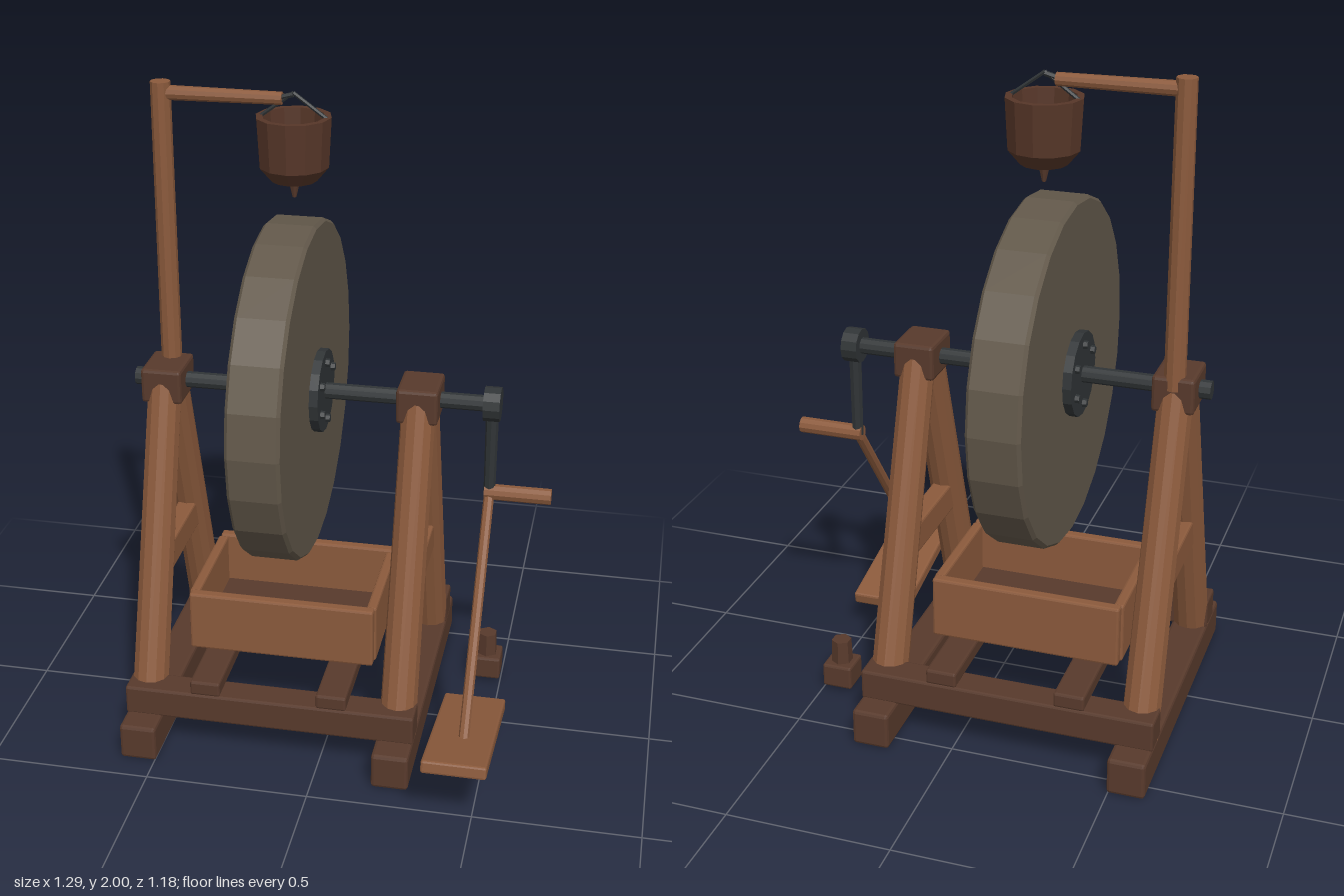
import * as THREE from 'three';
import { RoundedBoxGeometry } from 'three/addons/geometries/RoundedBoxGeometry.js';

const mat = (name, color, extra = {}) =>
  Object.assign(new THREE.MeshStandardMaterial({ color, flatShading: true, ...extra }), { name });

export function createModel() {
  const model = new THREE.Group();
  model.name = 'grindstone';
  const wood = mat('warmWood', 0x8b5a3c);
  const dark = mat('darkWood', 0x583a2c);
  const darkOpen = mat('bucketWood', 0x563628, { side: THREE.DoubleSide });
  const stone = mat('stone', 0x62584a);
  const iron = mat('iron', 0x303436);

  const add = (name, geo, material) => {
    const mesh = new THREE.Mesh(geo, material);
    mesh.name = name;
    model.add(mesh);
    return mesh;
  };
  // Softly bevelled box given by its limits on each axis
  const box = (name, m, [x0, x1], [y0, y1], [z0, z1], bevel = 0.007) => {
    const mesh = add(name, new RoundedBoxGeometry(x1 - x0, y1 - y0, z1 - z0, 1, bevel), m);
    mesh.position.set((x0 + x1) / 2, (y0 + y1) / 2, (z0 + z1) / 2);
    return mesh;
  };
  // Round bar from a to b
  const bar = (name, m, a, b, rA, rB = rA, sides = 10) => {
    const p = new THREE.Vector3(...a), q = new THREE.Vector3(...b);
    const d = q.clone().sub(p);
    const mesh = add(name, new THREE.CylinderGeometry(rB, rA, d.length(), sides), m);
    mesh.position.copy(p).add(q).multiplyScalar(0.5);
    mesh.quaternion.setFromUnitVectors(new THREE.Vector3(0, 1, 0), d.normalize());
    return mesh;
  };
  const AY = 1.085, AZ = -0.07; // axle height and depth

  // Two A-shaped side frames on long feet
  for (const x of [-0.552, 0.237]) {
    box('foot', dark, [x - 0.057, x + 0.057], [0, 0.115], [-0.565, 0.417], 0.01);
    box('bearingBlock', dark, [x - 0.063, x + 0.063], [1.03, 1.14], [AZ - 0.08, AZ + 0.08], 0.01);
    box('frameBrace', wood, [x - 0.03, x + 0.03], [0.48, 0.575], [-0.29, 0.15]);
    for (const s of [-1, 1])
      bar('leg', wood, [x, 0.05, AZ + s * 0.36], [x, 1.08, AZ + s * 0.032], 0.057, 0.052, 12);
  }

  // Cross beams and the slats that carry the trough
  for (const z of [-0.437, 0.287])
    box('crossBeam', dark, [-0.61, 0.295], [0.11, 0.205], [z - 0.048, z + 0.048]);
  for (const x of [-0.355, 0.04])
    box('slat', dark, [x - 0.047, x + 0.047], [0.203, 0.25], [-0.483, 0.333]);

  // Water trough
  box('troughFloor', dark, [-0.435, 0.12], [0.248, 0.28], [-0.27, 0.12], 0.004);
  for (const z of [-0.272, 0.124])
    box('troughLongBoard', wood, [-0.45, 0.135], [0.25, 0.445], [z - 0.018, z + 0.018]);
  for (const x of [-0.44, 0.124])
    box('troughEndBoard', wood, [x - 0.016, x + 0.016], [0.25, 0.44], [-0.257, 0.109]);

  // Grinding wheel with slightly worn rims
  const wheelProfile = [[0, -0.08], [0.512, -0.08], [0.522, -0.07], [0.522, 0.07], [0.512, 0.08], [0, 0.08]];
  const wheel = add('grindingWheel',
    new THREE.LatheGeometry(wheelProfile.map(p => new THREE.Vector2(...p)), 24), stone);
  wheel.rotation.z = -Math.PI / 2;
  wheel.position.set(-0.16, AY, AZ);

  // Axle, flanges and bolts
  bar('axle', iron, [-0.64, AY, AZ], [0.45, AY, AZ], 0.025);
  bar('axleEnd', iron, [-0.65, AY, AZ], [-0.617, AY, AZ], 0.028);
  for (const s of [-1, 1]) {
    const at = d => -0.16 + s * d;
    bar('flange', iron, [at(0.078), AY, AZ], [at(0.107), AY, AZ], 0.128, 0.128, 16);
    for (let i = 0; i < 6; i++) {
      const a = Math.PI / 6 + i * Math.PI / 3;
      const y = AY + 0.092 * Math.sin(a), z = AZ + 0.092 * Math.cos(a);
      bar('bolt', iron, [at(0.1), y, z], [at(0.12), y, z], 0.014, 0.012, 6);
    }
  }

  // Crank, handle and treadle linkage
  const CX = 0.456;
  bar('crankHub', iron, [CX - 0.025, AY, AZ], [CX + 0.025, AY, AZ], 0.053, 0.053, 12);
  bar('crankArm', iron, [CX, AY, AZ], [CX, 0.785, AZ], 0.02, 0.018, 8);
  bar('crankHandle', wood, [CX - 0.015, 0.79, AZ], [0.645, 0.79, AZ], 0.025);
  bar('connectingRod', wood, [CX, 0.79, AZ], [CX, 0.185, 0.39], 0.016, 0.016, 8);
  const treadle = box('treadle', wood, [0.355, 0.547], [0.145, 0.185], [0.053, 0.593]);
  treadle.rotation.x = -0.21;

  // Peg on a small block behind the treadle
  box('pegBlock', dark, [0.403, 0.498], [0.012, 0.088], [-0.32, -0.225]);
  bar('peg', dark, [0.45, 0.08, -0.272], [0.45, 0.163, -0.272], 0.034, 0.031, 6);

  // Post and arm that hold the drip bucket
  const BX = -0.157, BZ = -0.123;
  bar('post', wood, [-0.552, 1.1, BZ], [-0.552, 2, BZ], 0.032, 0.03);
  bar('postArm', wood, [-0.56, 1.967, BZ], [-0.19, 1.967, BZ], 0.022, 0.019);

  // Drip bucket: outer wall, rim, inner wall and floor
  const bucketProfile = [[0, 1.727], [0.068, 1.727], [0.104, 1.77], [0.112, 1.918], [0.092, 1.918], [0.084, 1.78], [0, 1.76]];
  const bucket = add('dripBucket',
    new THREE.LatheGeometry(bucketProfile.map(p => new THREE.Vector2(...p)), 12), darkOpen);
  bucket.position.set(BX, 0, BZ);
  bar('spout', dark, [BX, 1.73, BZ], [BX, 1.675, BZ], 0.019, 0.006, 8);
  for (const s of [-1, 1])
    bar('bail', iron, [BX + s * 0.1, 1.912, BZ], [BX, 1.985, BZ], 0.006, 0.006, 6);
  bar('bailHook', iron, [BX - 0.05, 1.967, BZ], [BX, 1.98, BZ], 0.008, 0.008, 6);

  return model;
}
